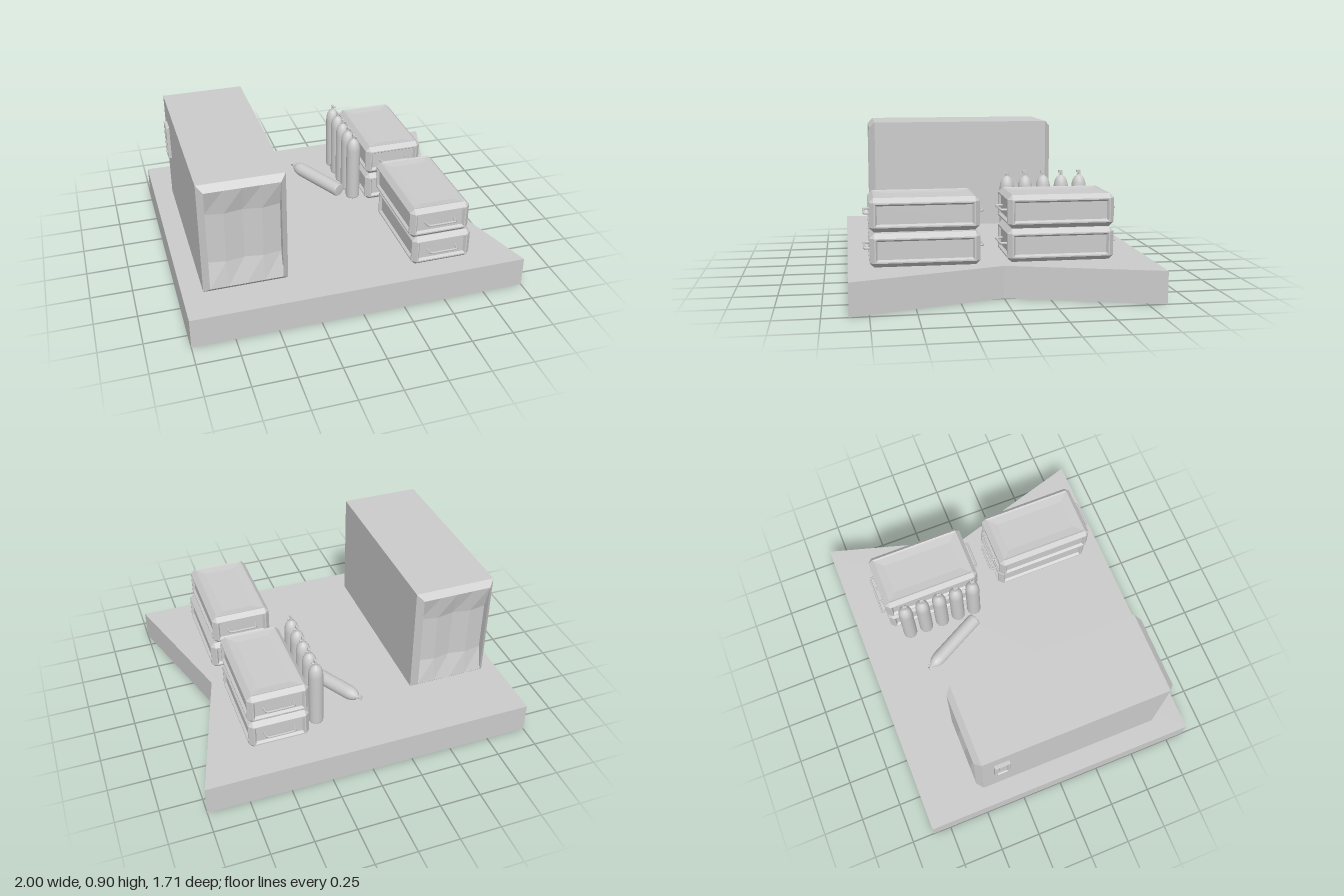
import * as THREE from 'three';

const grey = new THREE.MeshStandardMaterial({ color: 0xcccccc, side: THREE.DoubleSide });
const flat = new THREE.MeshStandardMaterial({ color: 0xcccccc, flatShading: true, side: THREE.DoubleSide });

function add(parent, name, geometry, material = flat, x = 0, y = 0, z = 0) {
  const mesh = new THREE.Mesh(geometry, material);
  mesh.name = name;
  mesh.position.set(x, y, z);
  parent.add(mesh);
  return mesh;
}

function fromTriangles(positions) {
  const g = new THREE.BufferGeometry();
  g.setAttribute('position', new THREE.Float32BufferAttribute(positions, 3));
  g.computeVertexNormals();
  return g;
}

// Quad with corners in counter-clockwise order seen from outside
const quad = (out, a, b, c, d) => out.push(...a, ...b, ...c, ...a, ...c, ...d);

// Chamfered box; rings(axis) gives [inset, depth] steps sunk into each face
function panelledBox(size, c, rings) {
  const half = size.map(s => s / 2);
  const out = [];
  const corner = (axis, s) => s.map((v, i) => v * (half[i] - (i === axis ? 0 : c)));
  const order = [[-1, -1], [1, -1], [1, 1], [-1, 1]];
  for (let axis = 0; axis < 3; axis++) {
    const u = (axis + 1) % 3, v = (axis + 2) % 3;
    for (const side of [-1, 1]) {
      const loop = ([inset, depth]) => order.map(([a, b]) => {
        const p = [0, 0, 0];
        p[axis] = side * (half[axis] - depth);
        p[u] = side * a * (half[u] - c - inset);
        p[v] = b * (half[v] - c - inset);
        return p;
      });
      const loops = [[0, 0], ...rings(axis)].map(loop);
      for (let k = 0; k + 1 < loops.length; k++)
        for (let i = 0; i < 4; i++) {
          const j = (i + 1) % 4;
          quad(out, loops[k][i], loops[k][j], loops[k + 1][j], loops[k + 1][i]);
        }
      quad(out, ...loops[loops.length - 1]);
    }
    // Chamfers running along this axis
    for (const a of [-1, 1]) for (const b of [-1, 1]) {
      const at = (face, e) => {
        const s = [0, 0, 0];
        s[axis] = e; s[u] = a; s[v] = b;
        return corner(face, s);
      };
      const q = [at(u, -1), at(v, -1), at(v, 1), at(u, 1)];
      quad(out, ...(a * b > 0 ? q.reverse() : q));
    }
  }
  // Corner triangles
  for (const x of [-1, 1]) for (const y of [-1, 1]) for (const z of [-1, 1]) {
    const t = [0, 1, 2].map(i => corner(i, [x, y, z]));
    if (x * y * z < 0) t.reverse();
    out.push(...t.flat());
  }
  return fromTriangles(out);
}

function makeCrate(name, x, y, z) {
  const crate = new THREE.Group();
  crate.name = name;
  crate.position.set(x, y, z);
  const rings = axis => axis === 1
    ? [[0.01, 0.004], [0.06, 0.01]]
    : [[0.008, 0], [0.018, 0.015]];
  add(crate, 'crateBody', panelledBox([0.365, 0.19, 0.615], 0.026, rings));
  // Bent carrying bar at each end
  for (const s of [-1, 1]) {
    const path = new THREE.CurvePath();
    const pts = [[-0.09, 0.285], [-0.083, 0.333], [0.083, 0.333], [0.09, 0.285]]
      .map(([px, pz]) => new THREE.Vector3(px, 0, s * pz));
    for (let i = 0; i < 3; i++) path.add(new THREE.LineCurve3(pts[i], pts[i + 1]));
    add(crate, 'crateHandle', new THREE.TubeGeometry(path, 24, 0.007, 6), grey);
  }
  return crate;
}

function makeBottle(name) {
  const bottle = new THREE.Group();
  bottle.name = name;
  const profile = [[0, 0], [0.037, 0], [0.042, 0.004], [0.044, 0.012], [0.044, 0.345], [0.042, 0.37],
    [0.036, 0.393], [0.026, 0.41], [0.013, 0.42], [0.01, 0.424]]
    .map(p => new THREE.Vector2(...p));
  add(bottle, 'bottleBody', new THREE.LatheGeometry(profile, 20), grey);
  add(bottle, 'bottleNeck', new THREE.CylinderGeometry(0.008, 0.011, 0.025, 10), grey, 0, 0.43, 0);
  add(bottle, 'bottleValve', new THREE.BoxGeometry(0.012, 0.014, 0.026), flat, 0, 0.445, 0.004);
  const outlet = add(bottle, 'bottleOutlet', new THREE.CylinderGeometry(0.005, 0.005, 0.024, 8), grey, 0.01, 0.434, 0);
  outlet.rotation.z = Math.PI / 2;
  return bottle;
}

function makeContainer() {
  const group = new THREE.Group();
  group.name = 'container';
  const cx = -0.64, cy = 0.56, zBack = -0.51, zFront = 0.70, bevel = 0.035;
  const loops = [[zBack, bevel], [zBack + bevel, 0], [zFront - bevel, 0], [zFront, bevel]]
    .map(([z, i]) => [[-1, -1], [1, -1], [1, 1], [-1, 1]]
      .map(([a, b]) => [cx + a * (0.245 - i), cy + b * (0.345 - i), z]));
  const out = [];
  for (let k = 0; k < 3; k++)
    for (let i = 0; i < 4; i++) {
      const j = (i + 1) % 4;
      quad(out, loops[k][i], loops[k][j], loops[k + 1][j], loops[k + 1][i]);
    }
  add(group, 'containerShell', fromTriangles(out));

  // Folded end panels, pleated inward between the flat top and bottom edges
  for (const s of [-1, 1]) {
    const panel = new THREE.PlaneGeometry(0.42, 0.62, 4, 3);
    const p = panel.attributes.position;
    for (let i = 0; i < p.count; i++) {
      const col = i % 5, row = Math.floor(i / 5);
      if (row === 1 || row === 2) {
        p.setZ(i, col % 2 ? -0.022 : -0.04);
        p.setY(i, row === 1 ? 0.155 : -0.155);
      }
    }
    const mesh = add(group, 'containerEndPanel', panel, flat, cx, cy, s > 0 ? zFront : zBack);
    if (s < 0) mesh.rotation.y = Math.PI;
  }

  // Control box on the side wall
  add(group, 'controlBox', panelledBox([0.03, 0.215, 0.098], 0.003,
    axis => axis === 0 ? [[0.014, 0], [0.018, 0.008]] : []), flat, -0.89, 0.657, -0.356);
  add(group, 'controlScreen', new THREE.BoxGeometry(0.012, 0.07, 0.045), flat, -0.896, 0.69, -0.356);
  return group;
}

export function createModel() {
  const model = new THREE.Group();
  model.name = 'storagePlatform';

  // Notched platform
  const outline = new THREE.Shape([[-1, -0.857], [1, -0.857], [0.745, 0], [1, 0.857], [-1, 0.857]]
    .map(p => new THREE.Vector2(...p)));
  const slab = new THREE.ExtrudeGeometry(outline, { depth: 0.185, bevelEnabled: false });
  slab.rotateX(-Math.PI / 2);
  add(model, 'platform', slab);

  model.add(makeContainer());

  // Two stacks of two crates
  model.add(
    makeCrate('frontLowerCrate', 0.52, 0.278, 0.43),
    makeCrate('frontUpperCrate', 0.497, 0.471, 0.43),
    makeCrate('backLowerCrate', 0.497, 0.278, -0.34),
    makeCrate('backUpperCrate', 0.497, 0.471, -0.34));

  // Row of standing bottles
  for (let i = 0; i < 5; i++) {
    const bottle = makeBottle('standingBottle');
    bottle.position.set(0.245, 0.198, -0.545 + i * 0.111);
    model.add(bottle);
  }

  // Bottle lying on the platform
  const lying = makeBottle('lyingBottle');
  const base = new THREE.Vector3(0.162, 0.238, -0.125);
  const tip = new THREE.Vector3(-0.05, 0.252, -0.52);
  lying.position.copy(base);
  lying.quaternion.setFromUnitVectors(new THREE.Vector3(0, 1, 0), tip.sub(base).normalize());
  model.add(lying);

  return model;
}
